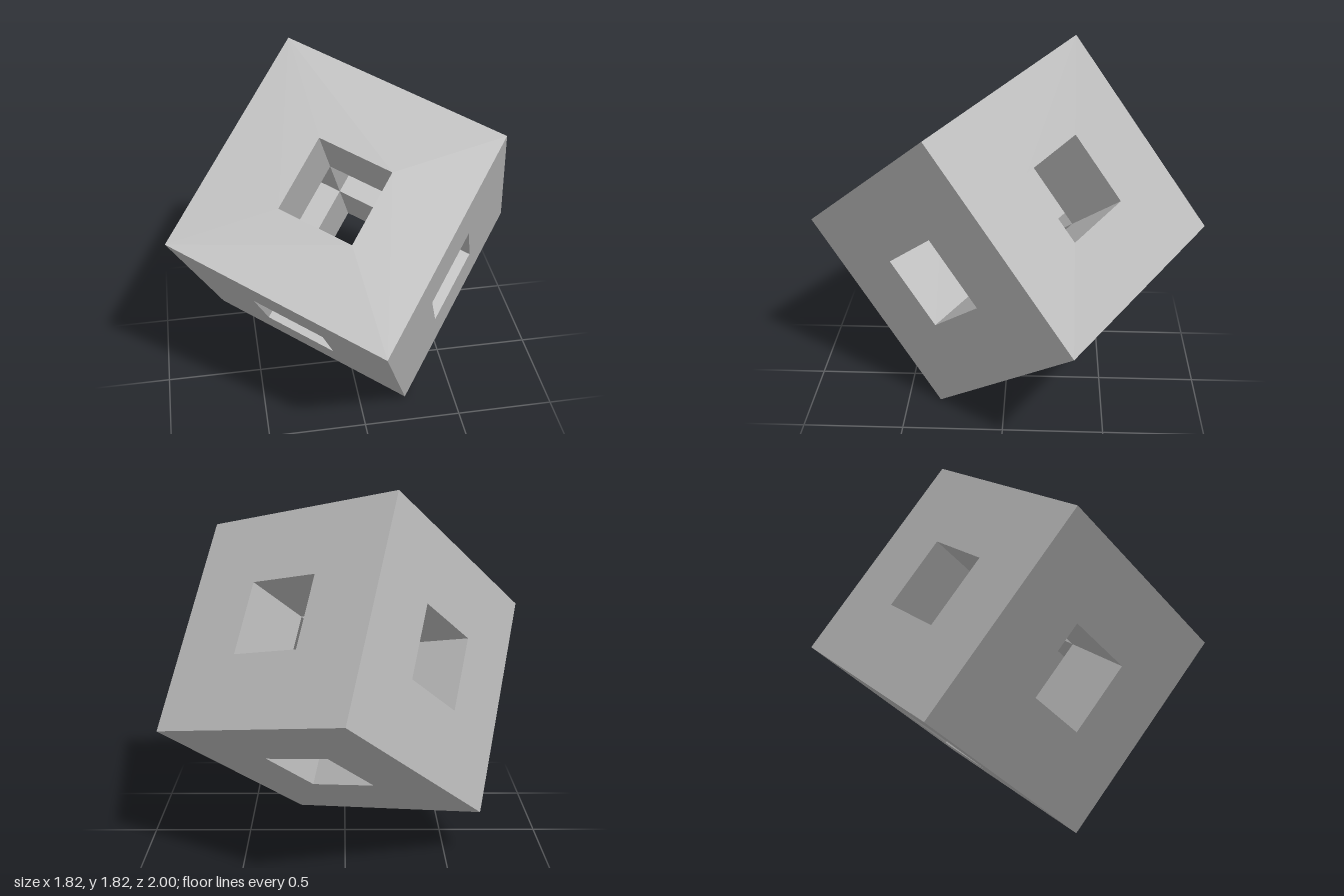
import * as THREE from 'three';
import { mergeGeometries } from 'three/addons/utils/BufferGeometryUtils.js';

const SIDE = 2 / Math.sqrt(3); // body diagonal is 2 units
const HOLE = SIDE / 3;

function square(path, size) {
  const h = size / 2;
  path.moveTo(-h, -h);
  path.lineTo(h, -h);
  path.lineTo(h, h);
  path.lineTo(-h, h);
  path.closePath();
  return path;
}

// Square face with a square opening, facing +z
function faceGeometry() {
  const shape = square(new THREE.Shape(), SIDE);
  shape.holes.push(square(new THREE.Path(), HOLE));
  return new THREE.ShapeGeometry(shape).translate(0, 0, SIDE / 2);
}

// Four walls lining the tunnel from the opening to the hollow core
function tunnelGeometry() {
  const walls = [];
  for (let k = 0; k < 4; k++) {
    walls.push(new THREE.PlaneGeometry(HOLE, HOLE)
      .rotateY(Math.PI / 2)
      .translate(-HOLE / 2, 0, HOLE)
      .rotateZ(k * Math.PI / 2));
  }
  return mergeGeometries(walls);
}

export function createModel() {
  const model = new THREE.Group();
  model.name = 'hollowCube';
  const grey = new THREE.MeshStandardMaterial({ color: 0xb8b8b8 });
  grey.name = 'grey';

  // Cube standing tilted, with one body diagonal along z
  const body = new THREE.Group();
  body.name = 'tiltedBody';
  const axes = [225, 345, 105].map((deg) => {
    const a = THREE.MathUtils.degToRad(deg);
    const r = Math.sqrt(2 / 3);
    return new THREE.Vector3(r * Math.cos(a), r * Math.sin(a), 1 / Math.sqrt(3));
  });
  body.quaternion.setFromRotationMatrix(new THREE.Matrix4().makeBasis(...axes));
  body.position.y = (2 * Math.SQRT2 / 3) * Math.sin(THREE.MathUtils.degToRad(75));
  model.add(body);

  // Six pierced sides, each a face and its tunnel
  const face = faceGeometry();
  const tunnel = tunnelGeometry();
  const q = Math.PI / 2;
  const turns = [[0, 0], [0, q], [0, 2 * q], [0, -q], [q, 0], [-q, 0]];
  turns.forEach(([rx, ry], i) => {
    const side = new THREE.Group();
    side.name = `piercedSide${i + 1}`;
    side.rotation.set(rx, ry, 0);
    for (const [name, geometry] of [['face', face], ['tunnelWalls', tunnel]]) {
      const mesh = new THREE.Mesh(geometry, grey);
      mesh.name = name;
      side.add(mesh);
    }
    body.add(side);
  });
  return model;
}
